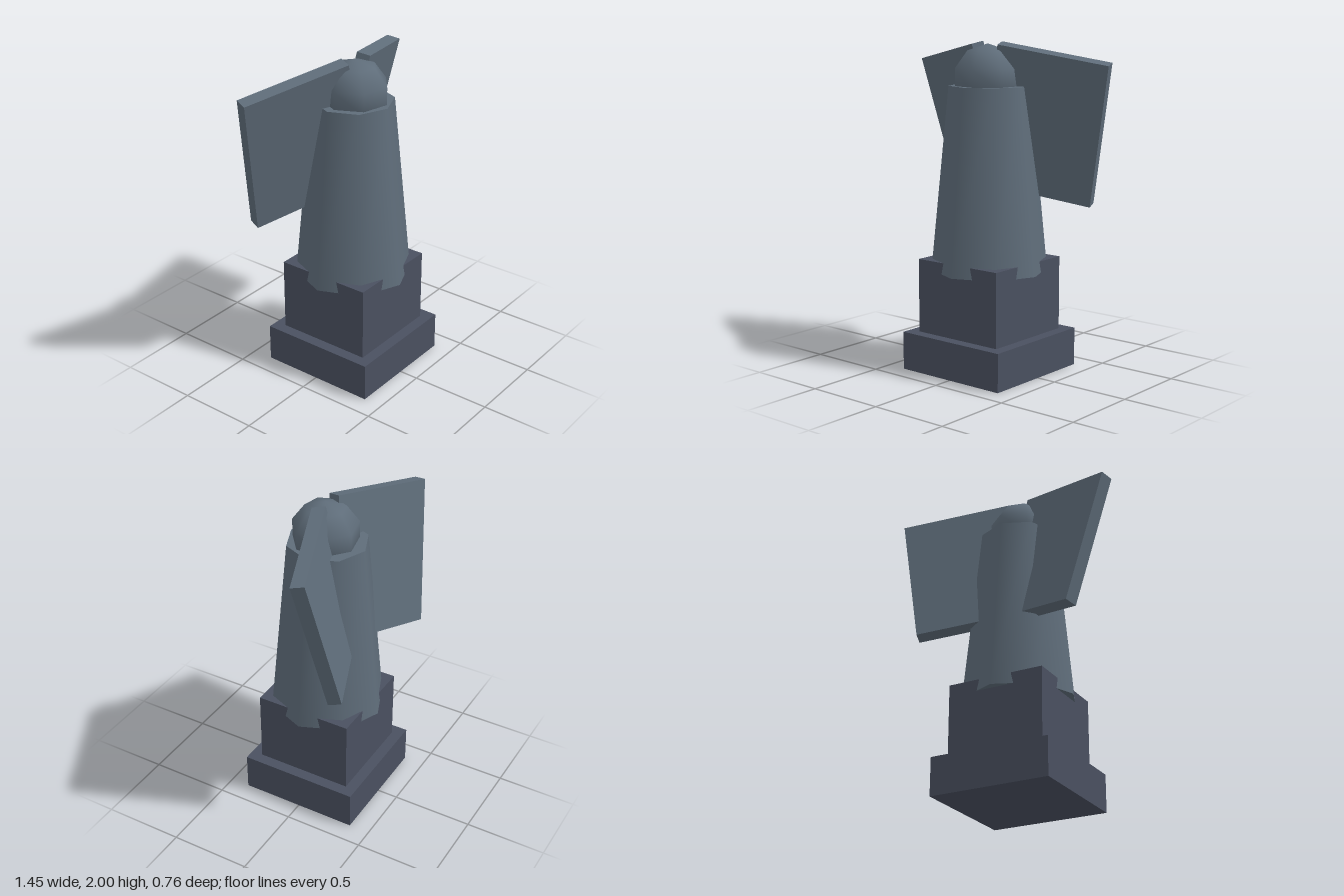
import * as THREE from 'three';

export function createModel() {
  const model = new THREE.Group();
  model.name = 'wingedStatue';
  const stone = new THREE.MeshStandardMaterial({ color: 0x4a5060 });
  const figure = new THREE.MeshStandardMaterial({ color: 0x5f6d7a });

  const add = (name, geometry, material, x, y, z) => {
    const mesh = new THREE.Mesh(geometry, material);
    mesh.name = name;
    mesh.position.set(x, y, z);
    model.add(mesh);
    return mesh;
  };

  // Stepped pedestal
  add('plinth', new THREE.BoxGeometry(0.75, 0.235, 0.75), stone, 0, 0.1175, 0.005);
  add('pedestalBlock', new THREE.BoxGeometry(0.61, 0.455, 0.61), stone, 0, 0.4625, 0.005);

  // Tapered eight-sided robe, smooth shaded, sunk over the block
  add('robe', new THREE.CylinderGeometry(0.245, 0.355, 1.12, 8), figure, 0, 1.18, 0.005);

  // Low-poly rounded head
  add('head', new THREE.SphereGeometry(0.21, 7, 5), figure, 0, 1.78, 0.02);

  // Slab wings, swept back and leaning outward, mirrored
  const wingGeometry = new THREE.BoxGeometry(0.68, 0.885, 0.082);
  for (const [name, side] of [['leftWing', 1], ['rightWing', -1]]) {
    const wing = add(name, wingGeometry, figure, side * 0.3, 1.51, -0.1625);
    wing.rotation.set(0.21, side * 0.32, side * -0.24);
  }

  return model;
}
